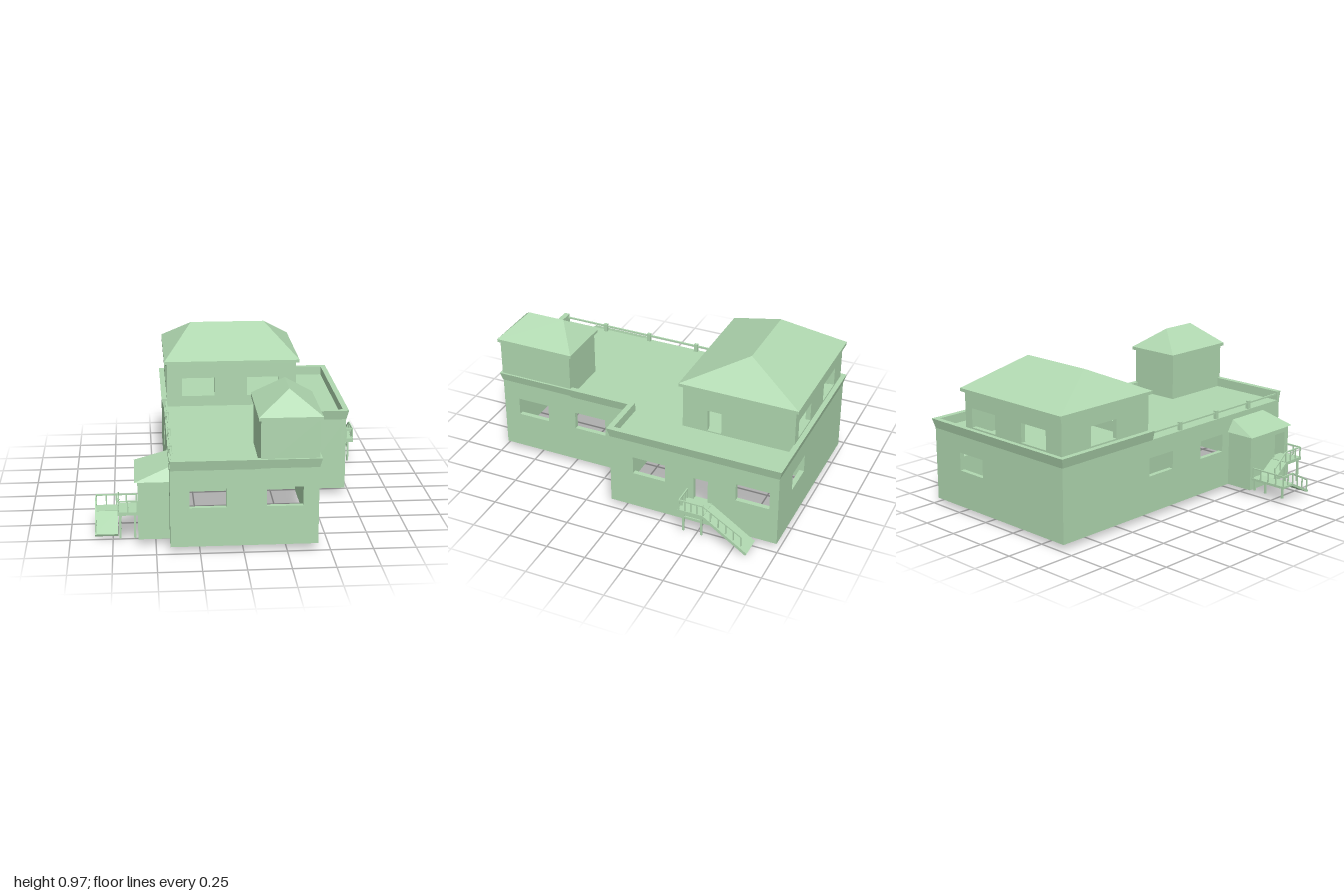
import * as THREE from 'three';

const mat = new THREE.MeshStandardMaterial({ color: 0xb0d8b0, flatShading: true, side: THREE.DoubleSide });
const T = 0.03; // wall thickness

function add(parent, name, geometry) {
  const mesh = new THREE.Mesh(geometry, mat);
  mesh.name = name;
  parent.add(mesh);
  return mesh;
}

// Box given by its limits
function block(parent, name, x0, x1, y0, y1, z0, z1) {
  const g = new THREE.BoxGeometry(x1 - x0, y1 - y0, z1 - z0);
  return add(parent, name, g.translate((x0 + x1) / 2, (y0 + y1) / 2, (z0 + z1) / 2));
}

// Box whose top face is moved onto another rectangle: hip and lean-to roofs
function taper(parent, name, [x0, x1, z0, z1], [a0, a1, b0, b1], y0, y1) {
  const g = new THREE.BoxGeometry(1, 1, 1).toNonIndexed();
  const p = g.attributes.position;
  for (let i = 0; i < p.count; i++) {
    const top = p.getY(i) > 0, right = p.getX(i) > 0, front = p.getZ(i) > 0;
    p.setXYZ(i,
      top ? (right ? a1 : a0) : (right ? x1 : x0),
      top ? y1 : y0,
      top ? (front ? b1 : b0) : (front ? z1 : z0));
  }
  g.computeVertexNormals();
  return add(parent, name, g);
}

// Upright wall with rectangular openings [s0, s1, y0, y1]; s runs along x or z
function wall(parent, name, axis, s0, s1, at, y0, y1, openings = []) {
  const rect = (target, a, b, c, d) =>
    target.moveTo(a, c).lineTo(b, c).lineTo(b, d).lineTo(a, d).closePath();
  const shape = rect(new THREE.Shape(), s0, s1, y0, y1);
  for (const [a, b, c, d] of openings) shape.holes.push(rect(new THREE.Path(), a, b, c, d));
  const g = new THREE.ExtrudeGeometry(shape, { depth: T, bevelEnabled: false });
  if (axis === 'z') g.rotateY(-Math.PI / 2).translate(at + T, 0, 0);
  else g.translate(0, 0, at);
  return add(parent, name, g);
}

// Straight bar or sloping slab between two points
function bar(parent, name, a, b, w = 0.008, h = w) {
  const p = new THREE.Vector3(...a), q = new THREE.Vector3(...b);
  const mesh = add(parent, name, new THREE.BoxGeometry(w, h, p.distanceTo(q)));
  mesh.position.copy(p).lerp(q, 0.5);
  mesh.lookAt(q);
  return mesh;
}

// Handrail with n + 1 posts standing on the line a-b
function railing(parent, a, b, n, height = 0.065) {
  const up = (p) => [p[0], p[1] + height, p[2]];
  bar(parent, 'handrail', up(a), up(b));
  for (let i = 0; i <= n; i++) {
    const p = a.map((v, k) => v + (b[k] - v) * i / n);
    bar(parent, 'railPost', p, up(p), 0.007);
  }
}

// Outward-leaning parapet swept along the wall line
function parapet(parent, path) {
  const section = [[0, 0.5], [0.015, 0.56], [-0.02, 0.56], [-0.02, 0.49]];
  const normal = (i) => {
    const [p, q] = [path[i], path[i + 1]];
    const l = Math.hypot(q[0] - p[0], q[1] - p[1]);
    return [(q[1] - p[1]) / l, -(q[0] - p[0]) / l];
  };
  const pos = [], index = [];
  path.forEach(([x, z], i) => {
    const m = [0, 0];
    for (const k of [i - 1, i]) {
      if (k < 0 || k > path.length - 2) continue;
      const n = normal(k);
      m[0] += n[0];
      m[1] += n[1];
    }
    for (const [o, y] of section) pos.push(x + m[0] * o, y, z + m[1] * o);
  });
  for (let i = 0; i < path.length - 1; i++) {
    for (let k = 0; k < 4; k++) {
      const a = i * 4 + k, b = i * 4 + (k + 1) % 4;
      index.push(a, b, a + 4, b, b + 4, a + 4);
    }
  }
  const e = (path.length - 1) * 4;
  index.push(0, 2, 1, 0, 3, 2, e, e + 1, e + 2, e, e + 2, e + 3);
  const g = new THREE.BufferGeometry();
  g.setAttribute('position', new THREE.Float32BufferAttribute(pos, 3));
  g.setIndex(index);
  const flat = g.toNonIndexed();
  flat.computeVertexNormals();
  add(parent, 'parapet', flat);
}

function group(parent, name) {
  const g = new THREE.Group();
  g.name = name;
  parent.add(g);
  return g;
}

export function createModel() {
  const model = new THREE.Group();
  model.name = 'building';
  const win = (a, b) => [a, b, 0.275, 0.39];
  const door = (a, b) => [a, b, 0.205, 0.355];
  const upWin = (a, b) => [a, b, 0.57, 0.69];
  const B = 0.04, R = 0.5; // wall foot and flat roof level

  // Ground storey, L-shaped, open underneath
  const ground = group(model, 'groundStorey');
  wall(ground, 'frontWall', 'x', -0.42, 0.43, 0.985 - T, B, R, [win(-0.31, -0.1), win(0.13, 0.34)]);
  wall(ground, 'backWall', 'x', -0.42, 0.72, -0.985, B, R, [win(0.28, 0.49)]);
  wall(ground, 'rightWall', 'z', -0.985, 0.985, -0.42, B, R,
    [win(-0.27, -0.06), win(0.2, 0.41), door(0.7, 0.8)]);
  wall(ground, 'leftFrontWall', 'z', 0.09, 0.985, 0.43 - T, B, R, [win(0.27, 0.48), win(0.67, 0.88)]);
  wall(ground, 'leftWingWall', 'z', -0.985, 0.09, 0.72 - T, B, R,
    [win(-0.93, -0.72), door(-0.545, -0.455), win(-0.27, -0.06)]);
  wall(ground, 'wingFrontWall', 'x', 0.4, 0.72, 0.09 - T, B, R);
  wall(ground, 'crossPartition', 'x', -0.4, 0.41, 0.06, B, R, [door(0.19, 0.28)]);
  wall(ground, 'backPartition', 'z', -0.97, 0.06, 0, B, R, [door(-0.23, -0.135)]);
  wall(ground, 'frontPartition', 'z', 0.09, 0.47, 0, B, R, [door(0.2, 0.305)]);

  // Flat roof, parapet and the open side's rail
  const outline = [[-0.42, -0.24], [-0.42, -0.985], [0.72, -0.985], [0.72, 0.09],
    [0.43, 0.09], [0.43, 0.985], [-0.42, 0.985]];
  const deck = new THREE.Shape(outline.slice(1).map(([x, z]) => new THREE.Vector2(x, -z)));
  const deckGeo = new THREE.ExtrudeGeometry(deck, { depth: 0.012, bevelEnabled: false });
  add(model, 'flatRoof', deckGeo.rotateX(-Math.PI / 2).translate(0, R - 0.01, 0));
  parapet(model, outline);
  const roofRail = group(model, 'roofRail');
  bar(roofRail, 'rail', [-0.405, 0.54, -0.25], [-0.405, 0.54, 0.97], 0.01);
  for (const z of [0.02, 0.36, 0.68]) block(roofRail, 'railPost', -0.415, -0.395, R, 0.555, z - 0.012, z + 0.012);

  // Upper storey with hip roof
  const upper = group(model, 'upperStorey');
  wall(upper, 'frontWall', 'x', -0.4, 0.44, -0.26 - T, R, 0.79, [upWin(-0.3, -0.09), upWin(0.12, 0.33)]);
  wall(upper, 'backWall', 'x', -0.4, 0.44, -0.97, R, 0.79, [upWin(-0.27, -0.06), upWin(0.17, 0.38)]);
  wall(upper, 'rightWall', 'z', -0.97, -0.26, -0.4, R, 0.79, [upWin(-0.74, -0.53)]);
  wall(upper, 'leftWall', 'z', -0.97, -0.26, 0.44 - T, R, 0.79, [[-0.51, -0.42, 0.51, 0.65]]);
  block(upper, 'eaves', -0.415, 0.46, 0.785, 0.805, -0.99, -0.24);
  taper(upper, 'hipRoof', [-0.415, 0.46, -0.99, -0.24], [-0.225, 0.26, -0.62, -0.62], 0.805, 0.977);

  // Small front tower
  const tower = group(model, 'frontTower');
  block(tower, 'towerWalls', 0.095, 0.432, R, 0.79, 0.505, 0.986);
  block(tower, 'eaves', 0.08, 0.445, 0.785, 0.805, 0.487, 1);
  taper(tower, 'hipRoof', [0.08, 0.445, 0.487, 1], [0.265, 0.265, 0.625, 0.865], 0.805, 0.935);

  // Side porch with lean-to roof
  const porch = group(model, 'sidePorch');
  wall(porch, 'outerWall', 'z', 0.475, 0.855, -0.602, B, 0.395, [door(0.72, 0.82)]);
  for (const z of [0.475, 0.855 - T]) wall(porch, 'endWall', 'x', -0.6, -0.41, z, B, 0.395);
  taper(porch, 'leanToRoof', [-0.62, -0.41, 0.462, 0.868], [-0.41, -0.409, 0.515, 0.815], 0.393, 0.47);

  // Porch landing and its doubled-back stair
  const stairA = group(model, 'porchStair');
  block(stairA, 'upperLanding', -0.72, -0.6, 0.185, 0.205, 0.69, 0.845);
  bar(stairA, 'upperFlight', [-0.66, 0.195, 0.695], [-0.66, 0.112, 0.58], 0.12, 0.015);
  block(stairA, 'lowerLanding', -0.855, -0.6, 0.105, 0.12, 0.49, 0.59);
  bar(stairA, 'lowerFlight', [-0.787, 0.112, 0.585], [-0.787, 0.028, 0.75], 0.135, 0.015);
  for (const [x, z, y] of [[-0.705, 0.83, 0.19], [-0.62, 0.83, 0.19], [-0.705, 0.7, 0.19],
    [-0.705, 0.5, 0.11], [-0.84, 0.5, 0.11], [-0.62, 0.5, 0.11]]) {
    bar(stairA, 'support', [x, B, z], [x, y, z], 0.012);
  }
  railing(stairA, [-0.605, 0.205, 0.84], [-0.715, 0.205, 0.84], 2);
  railing(stairA, [-0.715, 0.205, 0.84], [-0.715, 0.205, 0.69], 3);
  railing(stairA, [-0.715, 0.205, 0.69], [-0.715, 0.12, 0.58], 2);
  railing(stairA, [-0.61, 0.12, 0.494], [-0.85, 0.12, 0.494], 4);
  railing(stairA, [-0.85, 0.12, 0.494], [-0.85, 0.12, 0.59], 2);
  railing(stairA, [-0.85, 0.12, 0.59], [-0.85, 0.04, 0.74], 3);

  // Wing landing with a straight stair
  const stairB = group(model, 'wingStair');
  block(stairB, 'landing', 0.718, 0.853, 0.18, 0.205, -0.573, -0.412);
  bar(stairB, 'flight', [0.785, 0.197, -0.565], [0.785, 0.01, -0.845], 0.135, 0.018);
  for (const z of [-0.435, -0.55]) bar(stairB, 'support', [0.82, B, z], [0.82, 0.185, z], 0.012);
  bar(stairB, 'brace', [0.82, 0.14, -0.435], [0.82, 0.14, -0.55]);
  railing(stairB, [0.725, 0.205, -0.418], [0.847, 0.205, -0.418], 3);
  railing(stairB, [0.847, 0.205, -0.418], [0.847, 0.205, -0.57], 4);
  railing(stairB, [0.847, 0.205, -0.57], [0.847, 0.06, -0.81], 5);

  return model;
}
